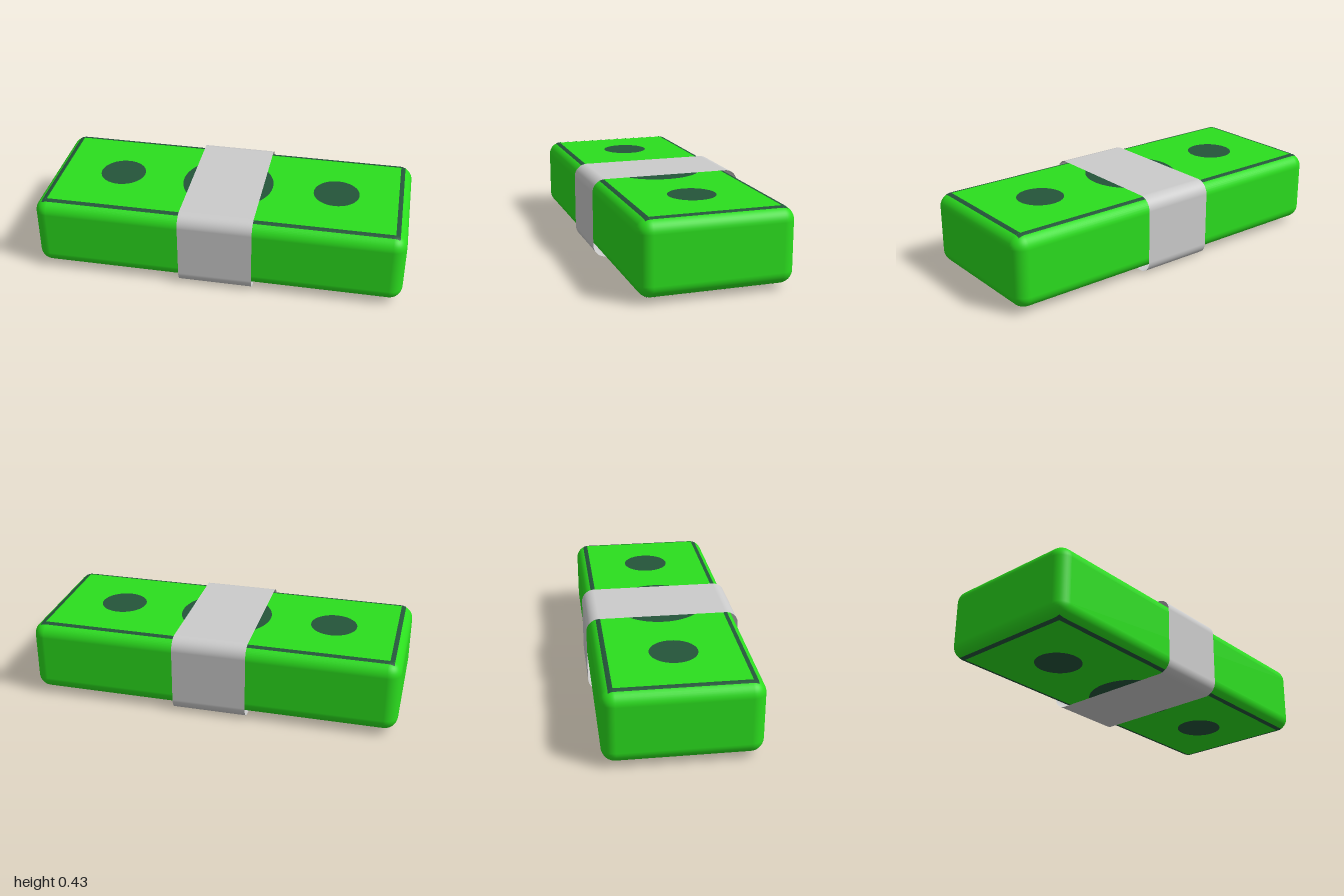
import * as THREE from 'three';
import { RoundedBoxGeometry } from 'three/addons/geometries/RoundedBoxGeometry.js';

const HX = 1, HY = 0.195, HZ = 0.4, R = 0.07, MID = 0.22; // stack half sizes, edge radius, centre height

// Height of the rounded stack's upper surface above its centre, with a hair of lift
function surfaceHeight(x, z) {
  const dx = Math.max(0, Math.abs(x) - (HX - R));
  const dz = Math.max(0, Math.abs(z) - (HZ - R));
  return HY - R + Math.sqrt(Math.max(0, R * R - dx * dx - dz * dz)) + 0.002;
}

// Flat geometry in x/y laid on top of the stack, following its rounded edges
function drape(geometry, x, z) {
  geometry.rotateX(-Math.PI / 2).translate(x, 0, z);
  const p = geometry.attributes.position;
  for (let i = 0; i < p.count; i++) p.setY(i, surfaceHeight(p.getX(i), p.getZ(i)));
  geometry.computeVertexNormals();
  return geometry;
}

// Open sleeve with a rounded rectangular section, wrapped around the x axis
function sleeveGeometry(width, hy, hz, r) {
  const s = new THREE.Shape();
  s.moveTo(0, -hy);
  s.lineTo(hz - r, -hy);
  s.absarc(hz - r, -hy + r, r, -Math.PI / 2, 0);
  s.absarc(hz - r, hy - r, r, 0, Math.PI / 2);
  s.absarc(-hz + r, hy - r, r, Math.PI / 2, Math.PI);
  s.absarc(-hz + r, -hy + r, r, Math.PI, Math.PI * 1.5);
  s.lineTo(0, -hy);
  const pts = s.getPoints(8);
  const n = pts.length - 1;
  const g = new THREE.PlaneGeometry(width, 1, 1, n);
  const p = g.attributes.position;
  for (let i = 0; i < p.count; i++) {
    const q = pts[n - Math.floor(i / 2)];
    p.setXYZ(i, p.getX(i), q.y, q.x);
  }
  g.computeVertexNormals();
  return g;
}

export function createModel() {
  const model = new THREE.Group();
  model.name = 'banknoteStack';
  const green = new THREE.MeshStandardMaterial({ color: 0x2bde1e });
  const dark = new THREE.MeshStandardMaterial({ color: 0x24553a });
  const grey = new THREE.MeshStandardMaterial({ color: 0xcccccc, side: THREE.DoubleSide });

  const add = (parent, name, geometry, material) => {
    const mesh = new THREE.Mesh(geometry, material);
    mesh.name = name;
    parent.add(mesh);
    return mesh;
  };

  // Stack of notes
  add(model, 'noteStack', new RoundedBoxGeometry(HX * 2, HY * 2, HZ * 2, 5, R), green).position.y = MID;

  // Printed border and discs on the top and the underside
  for (const [name, turn] of [['topPrint', 0], ['bottomPrint', Math.PI]]) {
    const print = new THREE.Group();
    print.name = name;
    print.position.y = MID;
    print.rotation.x = turn;
    for (const side of [-1, 1]) {
      add(print, 'longBorder', drape(new THREE.PlaneGeometry(1.92, 0.024, 96, 3), 0, side * 0.348), dark);
      add(print, 'shortBorder', drape(new THREE.PlaneGeometry(0.024, 0.672, 3, 34), side * 0.948, 0), dark);
      add(print, 'sideDisc', drape(new THREE.CircleGeometry(0.125, 40), side * 0.6, 0), dark);
    }
    add(print, 'centreDisc', drape(new THREE.CircleGeometry(0.25, 48), 0, 0), dark);
    model.add(print);
  }

  // Paper band around the middle
  add(model, 'paperBand', sleeveGeometry(0.4, 0.215, 0.413, 0.07), grey).position.y = 0.215;

  return model;
}
